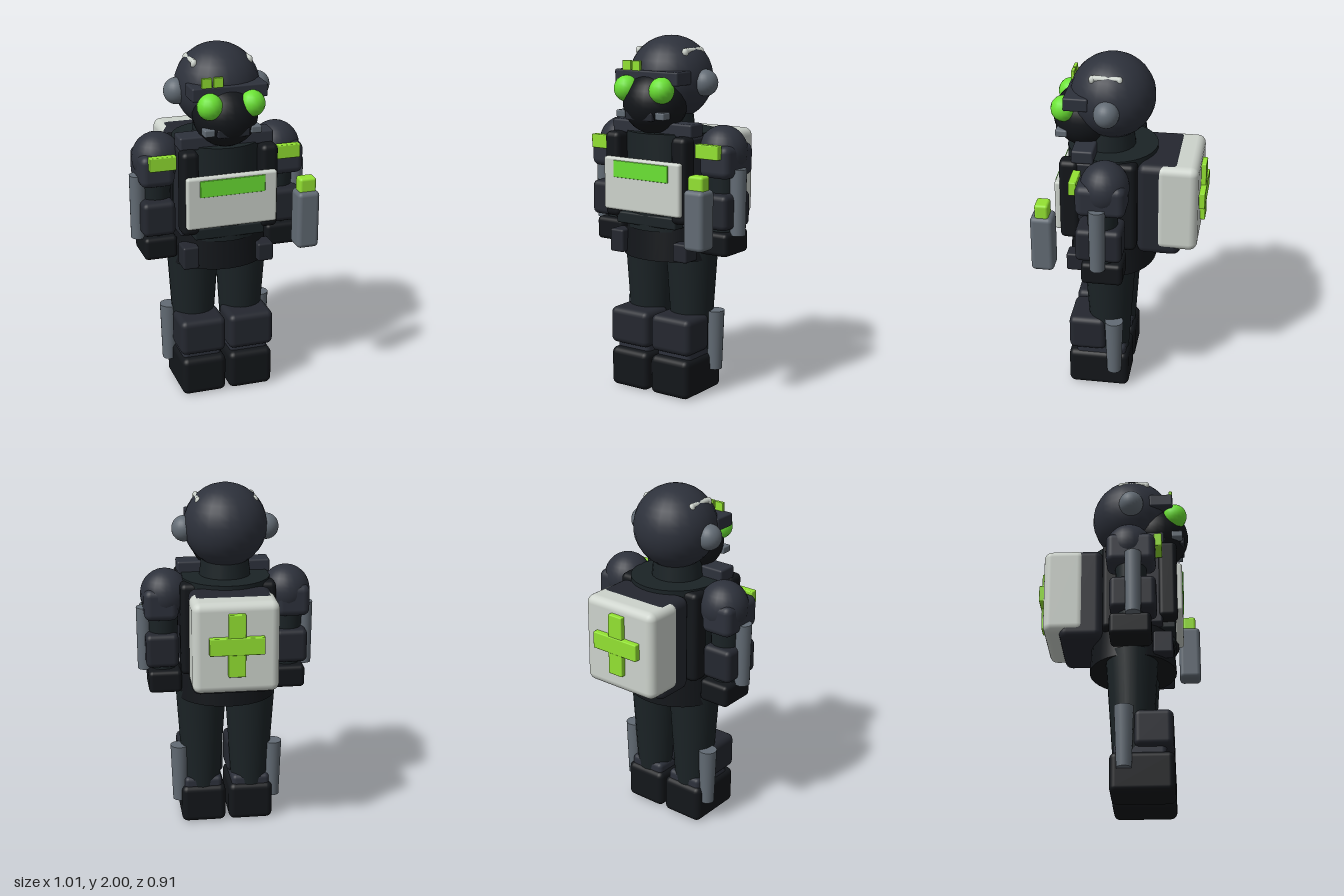
import * as THREE from 'three';
import { RoundedBoxGeometry } from 'three/addons/geometries/RoundedBoxGeometry.js';

const mat = (color) => new THREE.MeshStandardMaterial({ color });
const slate = mat(0x2d313b), shade = mat(0x24272f), dark = mat(0x13161a), cloth = mat(0x1b2326);
const grey = mat(0x626b74), white = mat(0xcdd3cc), green = mat(0x93e232), lime = mat(0x6be234);

export function createModel() {
  const model = new THREE.Group();

  const add = (name, geometry, material, x = 0, y = 0, z = 0) => {
    const mesh = new THREE.Mesh(geometry, material);
    mesh.name = name;
    mesh.position.set(x, y, z);
    model.add(mesh);
    return mesh;
  };
  // Rounded box given by its extents on each axis
  const box = (name, material, [x0, x1], [y0, y1], [z0, z1], r = 0.01) =>
    add(name, new RoundedBoxGeometry(x1 - x0, y1 - y0, z1 - z0, 3, r), material,
      (x0 + x1) / 2, (y0 + y1) / 2, (z0 + z1) / 2);
  const ball = (name, material, x, y, z, rx, ry = rx, rz = rx, seg = 24) => {
    const mesh = add(name, new THREE.SphereGeometry(1, seg, Math.round(seg * 0.7)), material, x, y, z);
    mesh.scale.set(rx, ry, rz);
    return mesh;
  };
  const post = (name, material, x, z, [y0, y1], rTop, rBottom, seg = 20) =>
    add(name, new THREE.CylinderGeometry(rTop, rBottom, y1 - y0, seg), material, x, (y0 + y1) / 2, z);
  // Mirrored extent of a part on the left (s = 1) or right (s = -1)
  const span = (s, a, b) => (s > 0 ? [a, b] : [-b, -a]);

  // Head with respirator face, brow visor and indicator lights
  ball('helmet', slate, 0, 1.766, 0.07, 0.234);
  ball('faceMask', dark, 0, 1.64, 0.22, 0.178, 0.172, 0.178);
  box('browVisor', slate, [-0.21, 0.21], [1.745, 1.82], [0.175, 0.31]);
  box('mouthBar', shade, [-0.09, 0.09], [1.555, 1.605], [0.31, 0.375]);
  box('indicatorLight', green, [-0.157, -0.1], [1.815, 1.87], [0.288, 0.308], 0.004);
  box('indicatorLight', green, [-0.092, -0.038], [1.815, 1.87], [0.288, 0.308], 0.004);

  // Torso, collar and hip skirt
  post('neck', cloth, 0, 0.09, [1.44, 1.62], 0.13, 0.15);
  post('torso', cloth, 0, 0.07, [0.94, 1.48], 0.25, 0.245, 32);
  box('collarBar', slate, [-0.265, 0.265], [1.465, 1.54], [0.14, 0.26], 0.012);
  post('hipSkirt', dark, 0, 0.07, [0.775, 0.98], 0.232, 0.245, 32).scale.x = 1.14;
  box('belt', cloth, [-0.2, 0.2], [0.965, 1.03], [0.2, 0.315]);

  // Chest panel with display
  box('chestPanel', white, [-0.256, 0.256], [1.045, 1.34], [0.315, 0.358], 0.015);
  box('chestDisplay', lime, [-0.184, 0.184], [1.23, 1.324], [0.34, 0.364], 0.004);

  // Backpack with cross
  box('backpackFrame', shade, [-0.23, 0.23], [0.905, 1.457], [-0.335, -0.09], 0.045);
  box('backpack', white, [-0.237, 0.237], [0.945, 1.455], [-0.425, -0.19], 0.045);
  box('crossUpright', green, [-0.047, 0.047], [1.05, 1.4], [-0.453, -0.415], 0.006);
  box('crossBar', green, [-0.15, 0.15], [1.175, 1.272], [-0.458, -0.415], 0.006);

  // Handheld canister on the left
  box('canister', grey, [0.345, 0.47], [0.9, 1.225], [0.33, 0.455], 0.025);
  box('canisterCap', green, [0.36, 0.455], [1.21, 1.3], [0.355, 0.43], 0.015);

  for (const s of [1, -1]) {
    // Head fittings
    ball('earPiece', grey, s * 0.23, 1.75, 0.072, 0.07, 0.073, 0.07);
    ball('goggleLens', lime, s * 0.118, 1.72, 0.322, 0.07, 0.072, 0.07, 16);
    box('maskVent', grey, span(s, 0.1, 0.16), [1.565, 1.605], [0.3, 0.365], 0.008);
    const stripe = add('helmetStripe', new THREE.CapsuleGeometry(0.017, 0.13, 4, 10), white,
      s * 0.153, 1.92, 0.085);
    stripe.rotation.x = Math.PI / 2;
    for (const z of [0.012, 0.158])
      ball('helmetStripeEnd', white, s * 0.156, 1.914, z, 0.018, 0.024, 0.018, 12);

    // Harness straps, side panels and pouches
    box('frontStrap', dark, span(s, 0.175, 0.273), [1.0, 1.475], [0.22, 0.33], 0.03);
    box('backStrap', dark, span(s, 0.16, 0.268), [0.94, 1.47], [-0.092, 0.02], 0.03);
    box('sidePanel', shade, span(s, 0.19, 0.262), [0.97, 1.465], [0.1, 0.245], 0.012);
    box('hipPouch', shade, span(s, 0.17, 0.262), s > 0 ? [0.785, 0.89] : [0.79, 0.92], [0.19, 0.3], 0.012);

    // Arm
    ball('shoulder', slate, s * 0.344, 1.383, 0.065, 0.138, 0.143, 0.134);
    box('shoulderArmor', slate, span(s, 0.275, 0.467), [1.25, 1.43], [-0.06, 0.212], 0.04);
    box('armBand', green, span(s, 0.28, 0.428), [1.36, 1.438], [0.205, 0.248], 0.006);
    post('upperArm', cloth, s * 0.355, 0.075, [1.1, 1.32], 0.09, 0.08);
    box('forearm', shade, span(s, 0.275, 0.46), [0.97, 1.165], [-0.04, 0.215], 0.03);
    post('wrist', cloth, s * 0.357, 0.075, [0.92, 1.0], 0.075, 0.075);
    box('hand', dark, span(s, 0.26, 0.448), [0.82, 0.95], [-0.042, 0.187], 0.025);
    post('armGuard', grey, s * 0.46, 0.09, [0.935, 1.3], 0.046, 0.042);

    // Leg
    post('leg', cloth, s * 0.142, 0.07, [0.18, 0.82], 0.147, 0.105, 24);
    box('kneePad', shade, span(s, 0.01, 0.274), [0.25, 0.46], [0.08, 0.295], 0.035);
    box('bootCuff', slate, span(s, 0.03, 0.25), [0.19, 0.275], [-0.03, 0.255], 0.025);
    box('boot', dark, span(s, 0.01, 0.267), [0, 0.225], [-0.05, 0.3], 0.035);
    post('shinGuard', grey, s * 0.274, 0.03, [0.128, 0.47], 0.053, 0.041);
  }
  return model;
}
